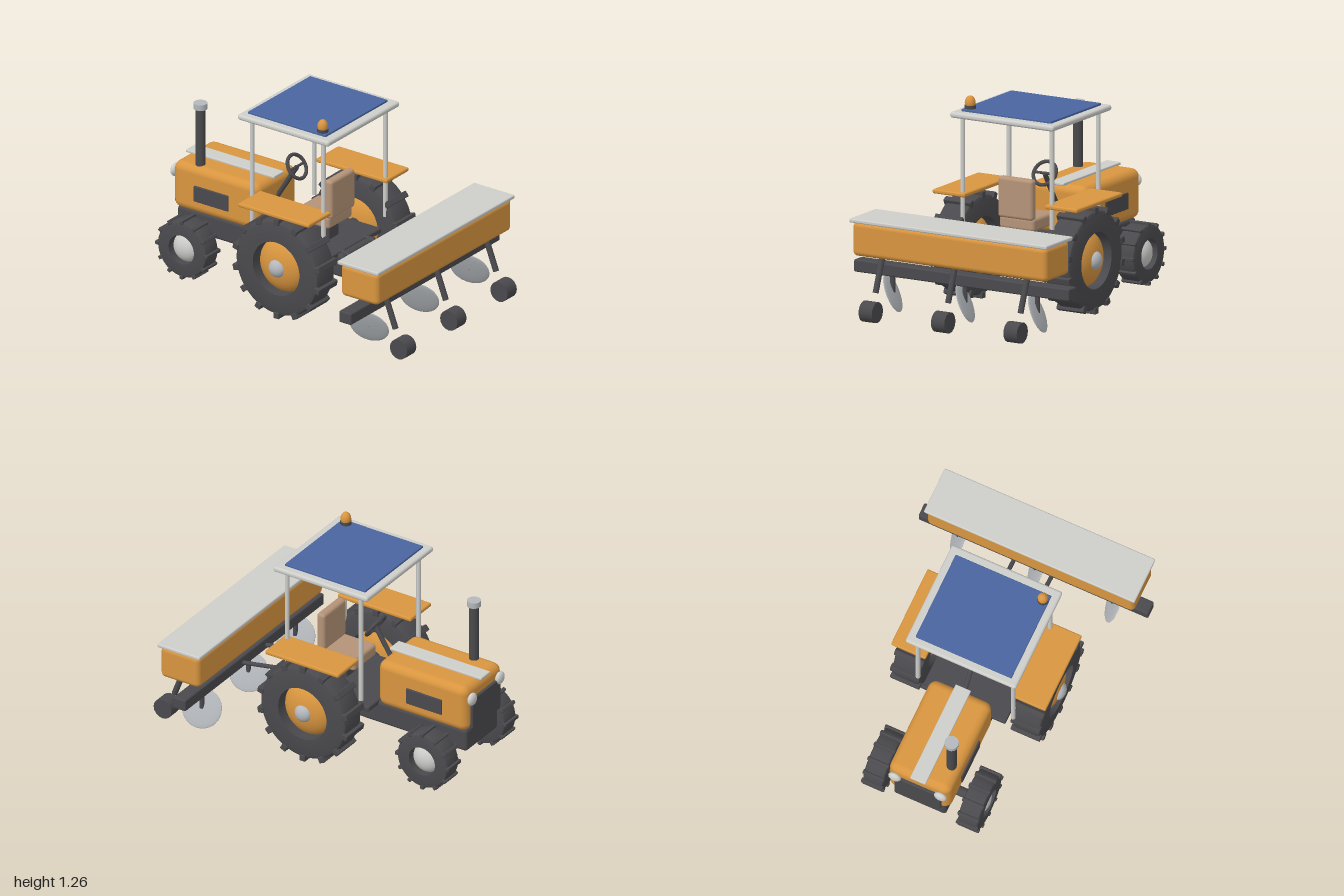
import * as THREE from 'three';
import { toCreasedNormals } from 'three/addons/utils/BufferGeometryUtils.js';
import { RoundedBoxGeometry } from 'three/addons/geometries/RoundedBoxGeometry.js';

const paint = (name, color) => Object.assign(new THREE.MeshStandardMaterial({ color }), { name });

export function createModel() {
  const model = new THREE.Group();
  const orange = paint('orange paint', 0xd8953f);
  const dark = paint('dark rubber', 0x4a4a4e);
  const pale = paint('pale grey', 0xcdcdca);
  const steel = paint('steel', 0xb4b8bc);
  const blue = paint('blue panel', 0x4a66a0);
  const tan = paint('tan seat', 0xb49378);

  const add = (name, geo, mat, x = 0, y = 0, z = 0, parent = model) => {
    const mesh = new THREE.Mesh(geo, mat);
    mesh.name = name;
    mesh.position.set(x, y, z);
    parent.add(mesh);
    return mesh;
  };
  // Box given by its min and max on each axis, with rounded edges
  const box = (name, mat, [x0, x1], [y0, y1], [z0, z1], r = 0.01) =>
    add(name, new RoundedBoxGeometry(x1 - x0, y1 - y0, z1 - z0, 3, r), mat,
      (x0 + x1) / 2, (y0 + y1) / 2, (z0 + z1) / 2);
  // Round rod between two points
  const rod = (name, mat, a, b, r) => {
    const p = new THREE.Vector3(...a), q = new THREE.Vector3(...b);
    const mesh = add(name, new THREE.CylinderGeometry(r, r, p.distanceTo(q), 16), mat);
    mesh.position.copy(p).lerp(q, 0.5);
    mesh.quaternion.setFromUnitVectors(new THREE.Vector3(0, 1, 0), q.sub(p).normalize());
    return mesh;
  };
  const ball = (name, mat, x, y, z, sx, sy, sz, parent) => {
    const mesh = add(name, new THREE.SphereGeometry(1, 32, 20), mat, x, y, z, parent);
    mesh.scale.set(sx, sy, sz);
    return mesh;
  };

  // Lugged wheel turning about x
  const wheel = (name, x, y, z, r, w, hubR, lugs, lugH, hubMat) => {
    const g = new THREE.Group();
    g.name = name;
    g.position.set(x, y, z);
    model.add(g);
    const h = w / 2, c = r * 0.09;
    const profile = [[hubR, -h], [r - c, -h], [r - c * 0.3, -h + c * 0.3], [r, -h + c],
      [r, h - c], [r - c * 0.3, h - c * 0.3], [r - c, h], [hubR, h], [hubR, -h]];
    const tyre = new THREE.LatheGeometry(profile.map(p => new THREE.Vector2(...p)), 48);
    tyre.rotateZ(-Math.PI / 2);
    add('tyre', toCreasedNormals(tyre, 0.6), dark, 0, 0, 0, g);
    for (let i = 0; i < lugs; i++) {
      const a = (i / lugs) * Math.PI * 2;
      const lug = add('lug', new RoundedBoxGeometry(w + 0.008, lugH * 2, r * 0.13, 2, 0.005), dark,
        0, Math.cos(a) * r, Math.sin(a) * r, g);
      lug.rotation.x = a;
    }
    ball('hub', hubMat, 0, 0, 0, h * 1.03, hubR, hubR, g);
    return g;
  };
  for (const s of [-1, 1]) {
    const rear = wheel('rearWheel', s * 0.39, 0.322, 0, 0.302, 0.18, 0.17, 14, 0.02, orange);
    ball('hubCap', steel, s * 0.075, 0, 0, 0.045, 0.057, 0.057, rear);
    wheel('frontWheel', s * 0.307, 0.194, -0.77, 0.177, 0.13, 0.092, 12, 0.013, pale);
  }
  rod('rearAxle', dark, [-0.32, 0.322, 0], [0.32, 0.322, 0], 0.04);
  rod('frontAxle', dark, [-0.27, 0.194, -0.77], [0.27, 0.194, -0.77], 0.03);

  // Chassis and driver's floor
  box('chassis', dark, [-0.17, 0.17], [0.215, 0.36], [-0.95, 0.26], 0.02);
  box('floor', dark, [-0.27, 0.27], [0.335, 0.37], [-0.33, 0.22]);

  // Hood with stripe, vents, grille and lamps
  box('hood', orange, [-0.2, 0.2], [0.357, 0.657], [-0.965, -0.34], 0.05);
  box('hoodStripe', pale, [-0.05, 0.05], [0.652, 0.67], [-0.975, -0.33], 0.006);
  box('grille', dark, [-0.15, 0.15], [0.37, 0.575], [-0.982, -0.955], 0.008);
  for (const s of [-1, 1]) {
    box('sideVent', dark, [s * 0.203 - 0.007, s * 0.203 + 0.007], [0.44, 0.54], [-0.8, -0.55], 0.004);
    ball('headlight', pale, s * 0.148, 0.577, -0.977, 0.04, 0.04, 0.022);
  }
  rod('exhaust', dark, [-0.14, 0.62, -0.8], [-0.14, 1.03, -0.8], 0.03);
  rod('exhaustCap', steel, [-0.14, 1.018, -0.8], [-0.14, 1.054, -0.8], 0.042);

  // Seat and steering
  box('seatPedestal', dark, [-0.05, 0.05], [0.36, 0.48], [-0.03, 0.07]);
  box('seatCushion', tan, [-0.12, 0.12], [0.47, 0.55], [-0.13, 0.12], 0.02);
  box('seatBack', tan, [-0.12, 0.12], [0.54, 0.787], [0.083, 0.14], 0.02);
  rod('steeringColumn', dark, [0, 0.52, -0.345], [0, 0.75, -0.2], 0.015);
  const ring = add('steeringWheel', new THREE.TorusGeometry(0.075, 0.011, 10, 32), dark, 0, 0.752, -0.2);
  ring.rotation.x = -0.59;
  rod('steeringSpoke', dark, [-0.075, 0.752, -0.2], [0.075, 0.752, -0.2], 0.008);

  // Fenders, canopy and beacon
  for (const s of [-1, 1]) {
    box('fender', orange, [s * 0.388 - 0.112, s * 0.388 + 0.112], [0.658, 0.684], [-0.265, 0.252], 0.01);
    for (const z of [-0.3, 0.22])
      rod('canopyPost', pale, [s * 0.308, 0.43, z], [s * 0.308, 1.15, z], 0.014);
  }
  box('canopy', pale, [-0.358, 0.358], [1.14, 1.175], [-0.375, 0.29], 0.015);
  box('canopyPanel', blue, [-0.31, 0.31], [1.165, 1.188], [-0.33, 0.235], 0.004);
  rod('beaconBase', dark, [-0.275, 1.17, 0.19], [-0.275, 1.208, 0.19], 0.034);
  ball('beacon', orange, -0.275, 1.222, 0.19, 0.032, 0.043, 0.032);

  // Hitch arms and toolbar
  for (const s of [-1, 1])
    rod('hitchArm', dark, [s * 0.122, 0.365, 0.2], [s * 0.122, 0.28, 0.67], 0.013);
  box('toolbar', dark, [-0.743, 0.743], [0.253, 0.328], [0.65, 0.738], 0.01);

  // Seed hopper
  box('hopper', orange, [-0.67, 0.67], [0.385, 0.592], [0.605, 0.878], 0.03);
  box('hopperLid', pale, [-0.682, 0.682], [0.588, 0.612], [0.592, 0.89], 0.008);

  // Row units: disc, shank and press wheel
  const discNormal = new THREE.Vector3(1, 0.45, -0.3).normalize();
  for (const x of [-0.5, 0, 0.5]) {
    rod('discStem', dark, [x, 0.15, 0.693], [x, 0.3, 0.693], 0.015);
    const disc = ball('disc', steel, x, 0.147, 0.693, 0.012, 0.122, 0.122);
    disc.quaternion.setFromUnitVectors(new THREE.Vector3(1, 0, 0), discNormal);
    rod('shank', dark, [x, 0.41, 0.8], [x, 0.185, 0.885], 0.018);
    rod('pressWheel', dark, [x - 0.046, 0.081, 0.94], [x + 0.046, 0.081, 0.94], 0.063);
  }
  return model;
}
